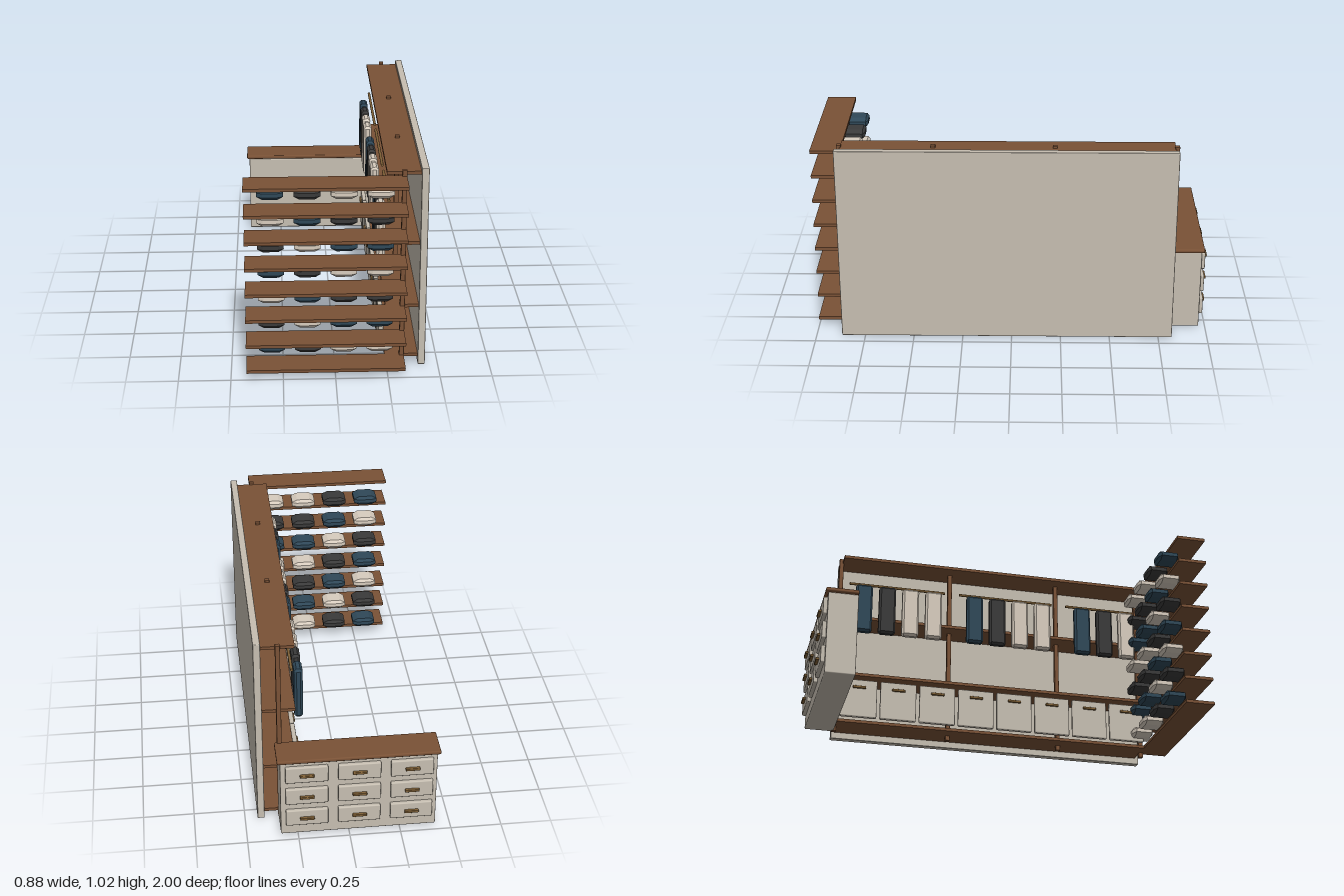
import * as THREE from 'three';
import { RoundedBoxGeometry } from 'three/addons/geometries/RoundedBoxGeometry.js';
import { ConvexGeometry } from 'three/addons/geometries/ConvexGeometry.js';

const material = (name, color) => {
  const m = new THREE.MeshStandardMaterial({ color });
  m.name = name;
  return m;
};

// Block with chamfered edges; c holds the chamfer along each axis
function softBlock(w, h, d, c) {
  const half = [w / 2, h / 2, d / 2];
  const points = [];
  for (let axis = 0; axis < 3; axis++)
    for (const sx of [-1, 1]) for (const sy of [-1, 1]) for (const sz of [-1, 1]) {
      const p = half.map((v, i) => (i === axis ? v : v - c[i]));
      points.push(new THREE.Vector3(p[0] * sx, p[1] * sy, p[2] * sz));
    }
  return new ConvexGeometry(points);
}

export function createModel() {
  const root = new THREE.Group();
  root.name = 'walkInWardrobe';

  const wood = material('walnut wood', 0x7a5236);
  const paint = material('warm grey paint', 0xc6beb1);
  const brass = material('aged brass', 0x806137);
  const navy = material('navy cloth', 0x2f4858);
  const charcoal = material('charcoal cloth', 0x3a3a3a);
  const cream = material('cream cloth', 0xd8cdbf);
  const cloth = [navy, charcoal, cream];

  const group = (name) => {
    const g = new THREE.Group();
    g.name = name;
    root.add(g);
    return g;
  };
  const add = (parent, name, geometry, mat, x, y, z) => {
    const mesh = new THREE.Mesh(geometry, mat);
    mesh.name = name;
    mesh.position.set(x, y, z);
    parent.add(mesh);
    return mesh;
  };
  // Box given by its limits, optionally with rounded edges
  const span = (parent, name, mat, [x0, x1], [y0, y1], [z0, z1], r = 0) => {
    const s = [x1 - x0, y1 - y0, z1 - z0];
    const geo = r ? new RoundedBoxGeometry(...s, 2, r) : new THREE.BoxGeometry(...s);
    return add(parent, name, geo, mat, (x0 + x1) / 2, (y0 + y1) / 2, (z0 + z1) / 2);
  };

  // Back wall
  span(root, 'wallPanel', paint, [0.403, 0.438], [0, 1.02], [-0.82, 0.87], 0.004);

  // Long wall shelves and the posts that carry them
  const wallUnit = group('wallUnit');
  for (const y of [0.042, 0.307, 0.635, 0.991])
    span(wallUnit, 'wallShelf', wood, [0.242, 0.404], [y - 0.008, y + 0.008], [-0.81, 0.85]);
  const posts = [-0.816, -0.214, 0.389, 0.856];
  for (const z of posts)
    span(wallUnit, 'post', wood, [0.312, 0.335], [0.008, 1.01], [z - 0.0115, z + 0.0115], 0.002);

  // Low cabinet doors with pulls
  const doors = group('cabinetDoors');
  for (let i = 0; i < 8; i++) {
    const z = -0.706 + i * 0.2075;
    span(doors, 'door', paint, [0.213, 0.236], [0.058, 0.265], [z - 0.095, z + 0.095], 0.006);
    span(doors, 'doorPull', brass, [0.203, 0.215], [0.214, 0.228], [z - 0.035, z + 0.035], 0.004);
  }

  // Hanging rails and garments, one set per bay
  const hanging = group('hangingClothes');
  const garment = softBlock(0.042, 0.275, 0.09, [0.012, 0.012, 0.01]);
  for (let bay = 0; bay < 3; bay++) {
    const middle = (posts[bay] + posts[bay + 1]) / 2;
    const length = posts[bay + 1] - posts[bay] - 0.08;
    const rail = new THREE.CylinderGeometry(0.007, 0.007, length, 12).rotateX(Math.PI / 2);
    add(hanging, 'hangingRail', rail, brass, 0.255, 0.838, middle);
    for (let i = 0; i < (bay === 2 ? 3 : 4); i++)
      add(hanging, 'garment', garment, cloth[Math.min(i, 2)],
        0.22, 0.678, -0.7 + bay * 0.605 + i * 0.126);
  }

  // Open end shelves with folded clothes between them
  const endUnit = group('endShelves');
  const folded = softBlock(0.125, 0.05, 0.11, [0.027, 0.015, 0.012]);
  for (let row = 0; row < 8; row++) {
    const y = 0.042 + row * 0.1328;
    span(endUnit, 'endShelf', wood, [-0.426, 0.334], [y - 0.008, y + 0.008], [0.85, 1]);
    if (row === 7) continue;
    for (let col = 0; col < 4; col++)
      add(endUnit, 'foldedClothes', folded, cloth[(row + Math.min(col, 2)) % 3],
        -0.303 + col * 0.173, y + 0.059, 0.826);
  }

  // Chest of drawers
  const chest = group('drawerChest');
  span(chest, 'chestBody', paint, [-0.426, 0.334], [0.01, 0.436], [-0.965, -0.816], 0.006);
  span(chest, 'chestTop', wood, [-0.44, 0.349], [0.436, 0.456], [-0.978, -0.815], 0.007);
  for (let col = 0; col < 3; col++)
    for (let row = 0; row < 3; row++) {
      const x = -0.302 + col * 0.2545, y = 0.117 + row * 0.128;
      span(chest, 'drawerFront', paint,
        [x - 0.103, x + 0.103], [y - 0.045, y + 0.045], [-0.985, -0.963], 0.006);
      span(chest, 'drawerPull', brass,
        [x - 0.035, x + 0.035], [y - 0.007, y + 0.007], [-1, -0.983], 0.004);
    }

  return root;
}
